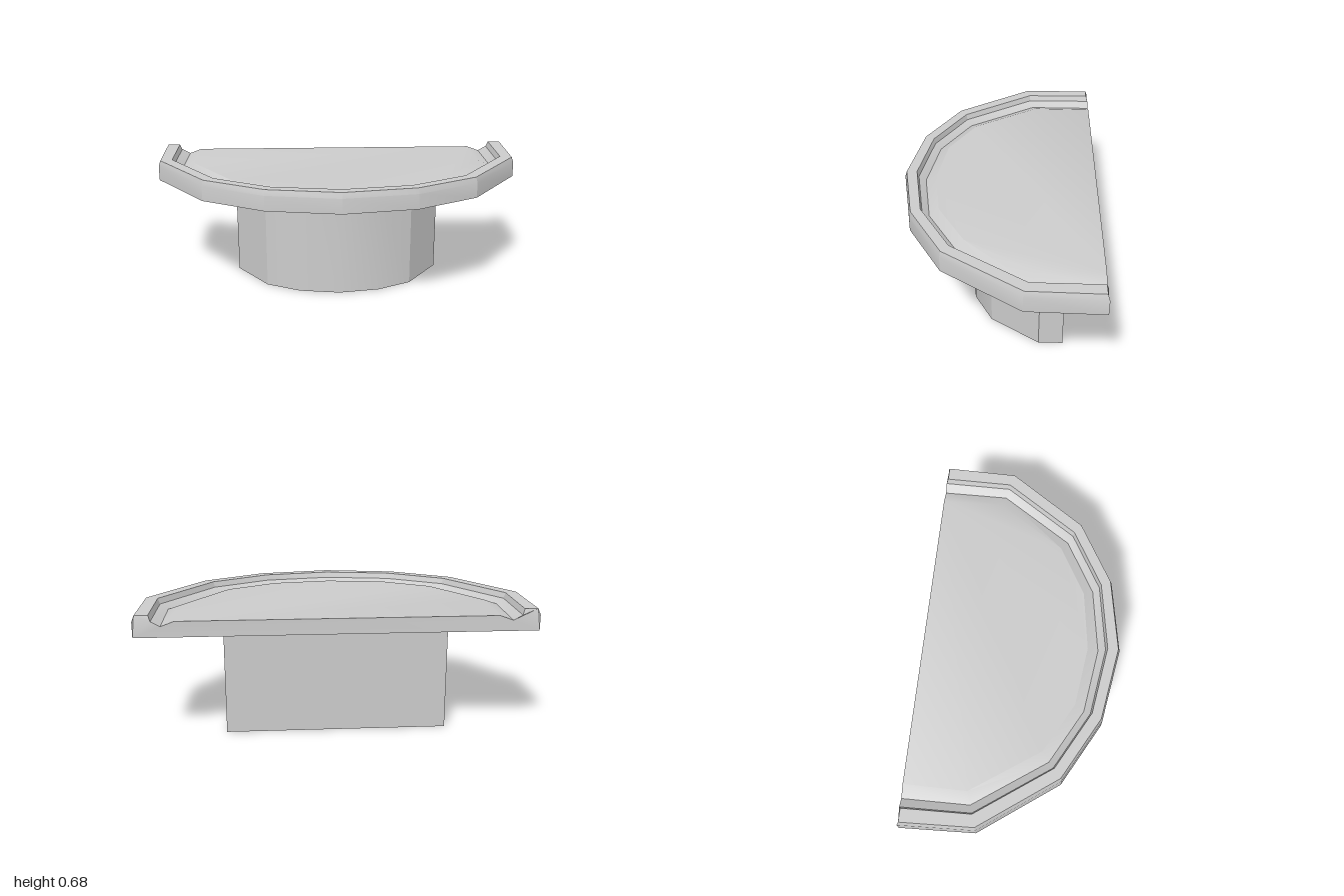
import * as THREE from 'three';
import { toCreasedNormals } from 'three/addons/utils/BufferGeometryUtils.js';

const CREASE = 0.4;

// Half outlines as [x, z], from the +x back corner to the middle of the front
const RIM_OUTER = [[1, -0.51], [0.99, -0.13], [0.71, 0.265], [0.385, 0.445], [0, 0.51]];
const RIM_INNER = [[0.865, -0.51], [0.865, -0.17], [0.615, 0.195], [0.335, 0.35], [0, 0.4]];
const PEDESTAL = [[0.575, -0.34], [0.575, -0.215], [0.4, 0.035], [0.217, 0.13], [0, 0.165]];

// Mirror a half outline to the other side and lift it to a height
function ring(half, y) {
  const right = half.map(([x, z]) => new THREE.Vector3(x, y, z));
  const left = half.slice(0, -1).reverse().map(([x, z]) => new THREE.Vector3(-x, y, z));
  return [...right, ...left];
}

// Join successive rings with quads; closed also joins the two back ends
function loft(rings, closed = false) {
  const tris = [];
  const n = rings[0].length;
  for (let r = 0; r < rings.length - 1; r++) {
    const a = rings[r], b = rings[r + 1];
    for (let i = 0; i < (closed ? n : n - 1); i++) {
      const j = (i + 1) % n;
      tris.push(a[i], b[i], b[j], a[i], b[j], a[j]);
    }
  }
  return tris;
}

// Fill a polygon, projected along the axis of its facing direction
function fill(points, facing) {
  const flat = points.map(p => new THREE.Vector2(p.x, facing.y !== 0 ? p.z : p.y));
  const tris = [];
  for (const [i, j, k] of THREE.ShapeUtils.triangulateShape(flat, [])) {
    const [a, b, c] = [points[i], points[j], points[k]];
    const normal = b.clone().sub(a).cross(c.clone().sub(a));
    tris.push(...(normal.dot(facing) > 0 ? [a, b, c] : [a, c, b]));
  }
  return tris;
}

function makeMesh(name, tris) {
  const geometry = toCreasedNormals(new THREE.BufferGeometry().setFromPoints(tris), CREASE);
  const material = new THREE.MeshStandardMaterial({ color: 0xcccccc, side: THREE.DoubleSide });
  const mesh = new THREE.Mesh(geometry, material);
  mesh.name = name;
  return mesh;
}

// Tray: [inset from outer to inner outline, height, back end z]
function createTray() {
  const profile = [
    [0, 0.57, -0.51],
    [0, 0.65, -0.51],
    [0.08, 0.68, -0.5],   // chamfered rim
    [0.58, 0.68, -0.5],
    [0.66, 0.65, -0.51],  // inner step
    [1, 0.625, -0.51],    // gutter
    [1.5, 0.65, -0.51],   // raised floor
  ];
  const rings = profile.map(([t, y, back]) => ring(RIM_OUTER.map(([x, z], i) => [
    THREE.MathUtils.lerp(x, RIM_INNER[i][0], t),
    i === 0 ? back : THREE.MathUtils.lerp(z, RIM_INNER[i][1], t),
  ]), y));
  const up = new THREE.Vector3(0, 1, 0);
  const backProfile = [...rings.map(r => r[0]), ...rings.map(r => r[r.length - 1]).reverse()];
  return makeMesh('tray', [
    ...loft(rings),
    ...fill(rings[rings.length - 1], up),
    ...fill(rings[0], up.clone().negate()),
    ...fill(backProfile, new THREE.Vector3(0, 0, -1)),
  ]);
}

// Hollow pedestal, open underneath
function createPedestal() {
  return makeMesh('pedestal', loft([ring(PEDESTAL, 0), ring(PEDESTAL, 0.57)], true));
}

export function createModel() {
  const group = new THREE.Group();
  group.name = 'pedestalTray';
  group.add(createTray(), createPedestal());
  return group;
}
